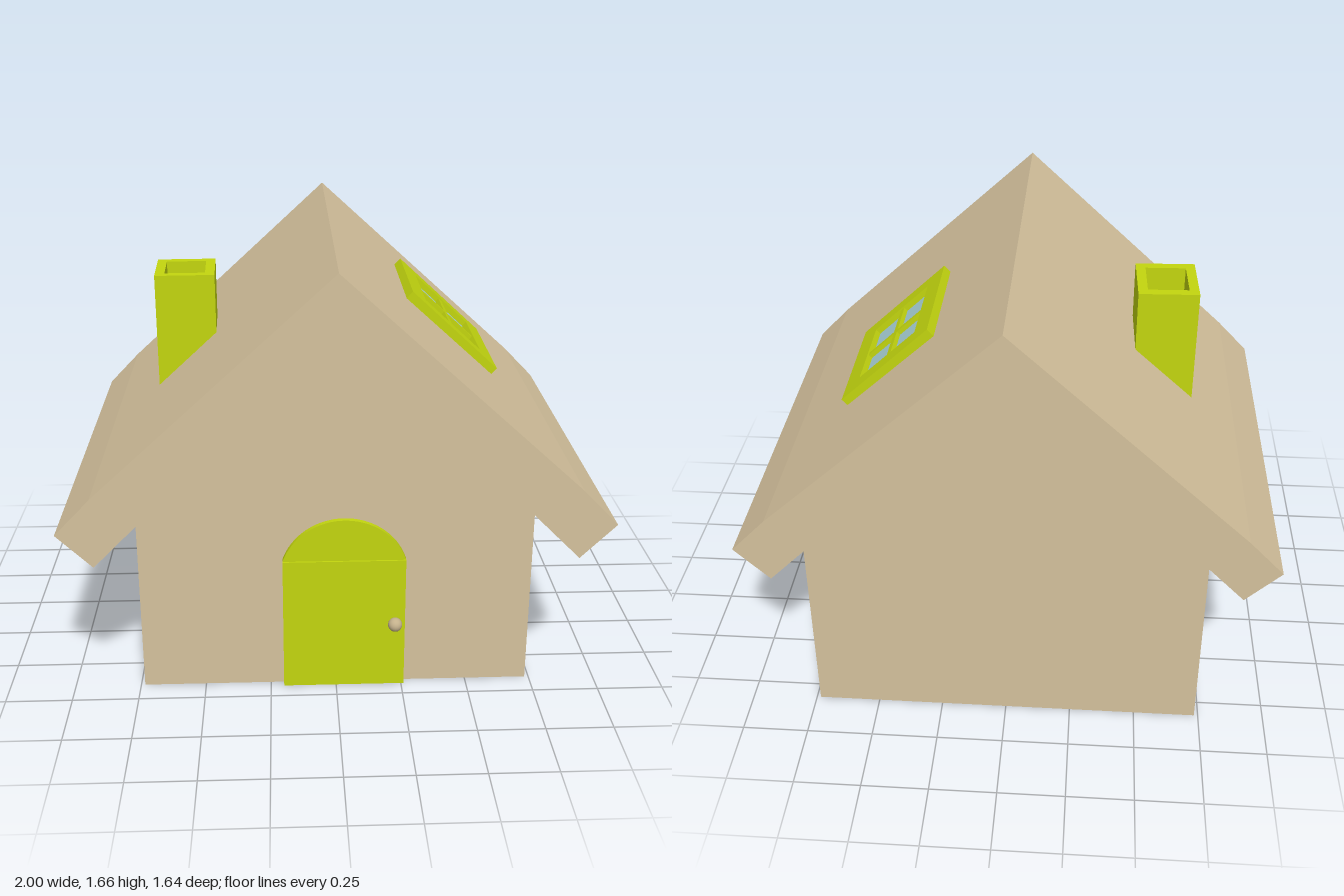
import * as THREE from 'three';

const mat = (color) => new THREE.MeshStandardMaterial({ color, flatShading: true });
const tan = mat(0xd5c29d), lime = mat(0xc3d60f), glass = mat(0xa6cfd4), green = mat(0x2f5a40);
const knobMat = new THREE.MeshStandardMaterial({ color: 0xc4b18c });

function add(parent, name, geometry, material, x = 0, y = 0, z = 0) {
  const mesh = new THREE.Mesh(geometry, material);
  mesh.name = name;
  mesh.position.set(x, y, z);
  parent.add(mesh);
  return mesh;
}

// Box given by its minimum and maximum corners
function box(parent, name, material, [x0, y0, z0], [x1, y1, z1]) {
  return add(parent, name, new THREE.BoxGeometry(x1 - x0, y1 - y0, z1 - z0), material,
    (x0 + x1) / 2, (y0 + y1) / 2, (z0 + z1) / 2);
}

function rect(x0, y0, x1, y1) {
  return [[x0, y0], [x1, y0], [x1, y1], [x0, y1]].map(([x, y]) => new THREE.Vector2(x, y));
}

function extrude(points, z0, z1, hole) {
  const shape = new THREE.Shape(points);
  if (hole) shape.holes.push(new THREE.Path(hole));
  return new THREE.ExtrudeGeometry(shape, { depth: z1 - z0, bevelEnabled: false }).translate(0, 0, z0);
}

const vectors = (list) => list.map(([x, y]) => new THREE.Vector2(x, y));

// Small potted sprout: a stem with crossed leaves
function createPlant(x, z, height) {
  const plant = new THREE.Group();
  plant.name = 'plant';
  plant.position.set(x, 0.055, z);
  add(plant, 'stem', new THREE.CylinderGeometry(0.004, 0.006, height, 6), green, 0, height / 2, 0);
  for (const [level, length] of [[1, 0.046], [0.35, 0.032]]) {
    for (let i = 0; i < 3; i++) {
      const leaf = add(plant, 'leaf', new THREE.BoxGeometry(length, 0.005, 0.009), green, 0, height * level, 0);
      leaf.rotation.set(0, i * Math.PI / 3 + 0.2, 0.12);
    }
  }
  return plant;
}

// Wall window facing local +z, standing on its lower edge
function createWindow() {
  const g = new THREE.Group();
  g.name = 'sideWindow';
  add(g, 'windowFrame', extrude(rect(-0.175, 0, 0.175, 0.31), -0.02, 0.035,
    rect(-0.125, 0.055, 0.125, 0.255)), lime);
  box(g, 'windowSill', lime, [-0.175, 0, 0.03], [0.175, 0.055, 0.068]);
  box(g, 'windowPane', glass, [-0.13, 0.05, -0.01], [0.13, 0.26, 0.008]);
  g.add(createPlant(0.055, 0.046, 0.06), createPlant(0.1, 0.05, 0.07));
  return g;
}

export function createModel() {
  const house = new THREE.Group();
  house.name = 'house';

  // Walls and roof
  add(house, 'walls', extrude(vectors([[-0.735, 0], [0.735, 0], [0.735, 0.736], [0, 1.475], [-0.735, 0.736]]),
    -0.82, 0.655), tan);
  add(house, 'roof', extrude(vectors([[0, 1.66], [-0.87, 0.86], [-1, 0.725], [-0.87, 0.597], [0, 1.475],
    [0.87, 0.6], [1, 0.73], [0.87, 0.865]]), -0.82, 0.82), tan);

  // Door with arched top and knob
  box(house, 'door', lime, [-0.2, 0, 0.645], [0.26, 0.53, 0.682]);
  const arch = new THREE.Shape();
  const start = Math.asin(0.078 / 0.243);
  arch.absarc(0.03, 0.452, 0.243, start, Math.PI - start, false);
  add(house, 'doorArch', new THREE.ExtrudeGeometry(arch, { depth: 0.03, bevelEnabled: false, curveSegments: 24 }),
    lime, 0, 0, 0.645);
  add(house, 'doorKnob', new THREE.SphereGeometry(0.027, 20, 14), knobMat, 0.222, 0.265, 0.692);

  // Windows on both side walls
  for (const [side, y, z] of [[1, 0.165, -0.075], [-1, 0.14, -0.09]]) {
    const w = createWindow();
    w.position.set(side * 0.735, y, z);
    w.rotation.y = side * Math.PI / 2;
    house.add(w);
  }

  // Skylight lying on the roof: local x runs down the slope, local y is the roof normal
  const sky = new THREE.Group();
  sky.name = 'skylight';
  sky.position.set(0.458, 1.234, -0.0925);
  sky.rotation.z = -Math.atan(0.93);
  const frame = extrude(rect(-0.231, -0.2675, 0.231, 0.2675), -0.02, 0.039, rect(-0.15, -0.19, 0.15, 0.19));
  add(sky, 'skylightFrame', frame.rotateX(-Math.PI / 2), lime);
  box(sky, 'skylightPane', glass, [-0.155, -0.01, -0.195], [0.155, 0.015, 0.195]);
  box(sky, 'skylightBar', lime, [-0.152, 0.01, -0.01], [0.152, 0.033, 0.01]);
  box(sky, 'skylightBar', lime, [-0.01, 0.01, -0.192], [0.01, 0.033, 0.192]);
  house.add(sky);

  // Hollow chimney
  const shaft = extrude(rect(-0.115, -0.132, 0.115, 0.132), 0, 0.48, rect(-0.078, -0.094, 0.078, 0.094));
  const chimney = add(house, 'chimney', shaft.rotateX(-Math.PI / 2), lime, -0.564, 1.0, -0.006);
  chimney.rotation.y = 0.03;

  return house;
}
